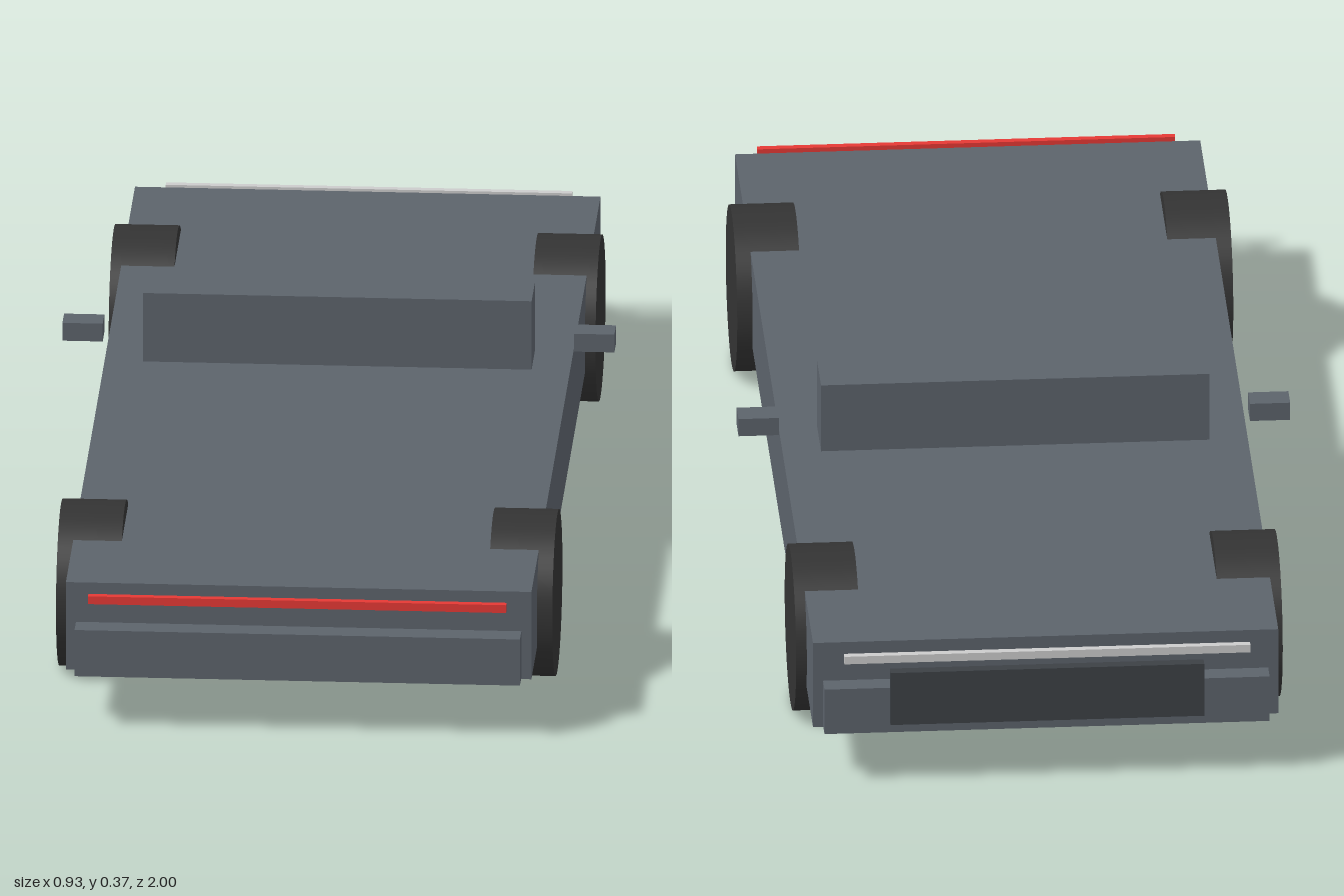
import * as THREE from 'three';

const paint = new THREE.MeshStandardMaterial({ color: 0x5c636b });
const rubber = new THREE.MeshStandardMaterial({ color: 0x333333 });
const trim = new THREE.MeshStandardMaterial({ color: 0x3c4045 });
const red = new THREE.MeshStandardMaterial({ color: 0xe53935 });
const white = new THREE.MeshStandardMaterial({ color: 0xe8e8e8 });

export function createModel() {
  const car = new THREE.Group();
  car.name = 'car';

  // Box given by its lower and upper limits on each axis
  function box(name, material, [x0, x1], [y0, y1], [z0, z1]) {
    const mesh = new THREE.Mesh(new THREE.BoxGeometry(x1 - x0, y1 - y0, z1 - z0), material);
    mesh.position.set((x0 + x1) / 2, (y0 + y1) / 2, (z0 + z1) / 2);
    mesh.name = name;
    car.add(mesh);
  }

  // Body slab and low cabin block
  box('body', paint, [-0.393, 0.393], [0.095, 0.252], [-0.955, 0.955]);
  box('cabin', paint, [-0.328, 0.328], [0.25, 0.375], [-0.21, -0.115]);

  // Front end
  box('frontBumper', paint, [-0.376, 0.376], [0.098, 0.181], [0.95, 0.995]);
  box('frontLightBar', red, [-0.353, 0.353], [0.23, 0.244], [0.988, 1]);

  // Rear end
  box('rearBumper', paint, [-0.376, 0.376], [0.098, 0.181], [-0.99, -0.95]);
  box('rearPanel', trim, [-0.265, 0.265], [0.115, 0.212], [-0.998, -0.98]);
  box('rearLightBar', white, [-0.343, 0.343], [0.231, 0.245], [-0.998, -0.986]);

  // Mirrors and wheels, one of each per side
  const tyre = new THREE.CylinderGeometry(0.141, 0.141, 0.108, 48).rotateZ(Math.PI / 2);
  for (const [side, s] of [['left', 1], ['right', -1]]) {
    const x = s > 0 ? [0.398, 0.466] : [-0.466, -0.398];
    box(side + 'Mirror', paint, x, [0.275, 0.307], [-0.19, -0.145]);

    for (const [end, wx, wz] of [['Front', 0.365, 0.663], ['Rear', 0.357, -0.663]]) {
      const wheel = new THREE.Mesh(tyre, rubber);
      wheel.position.set(s * wx, 0.143, wz);
      wheel.name = side + end + 'Wheel';
      car.add(wheel);
    }
  }
  return car;
}
